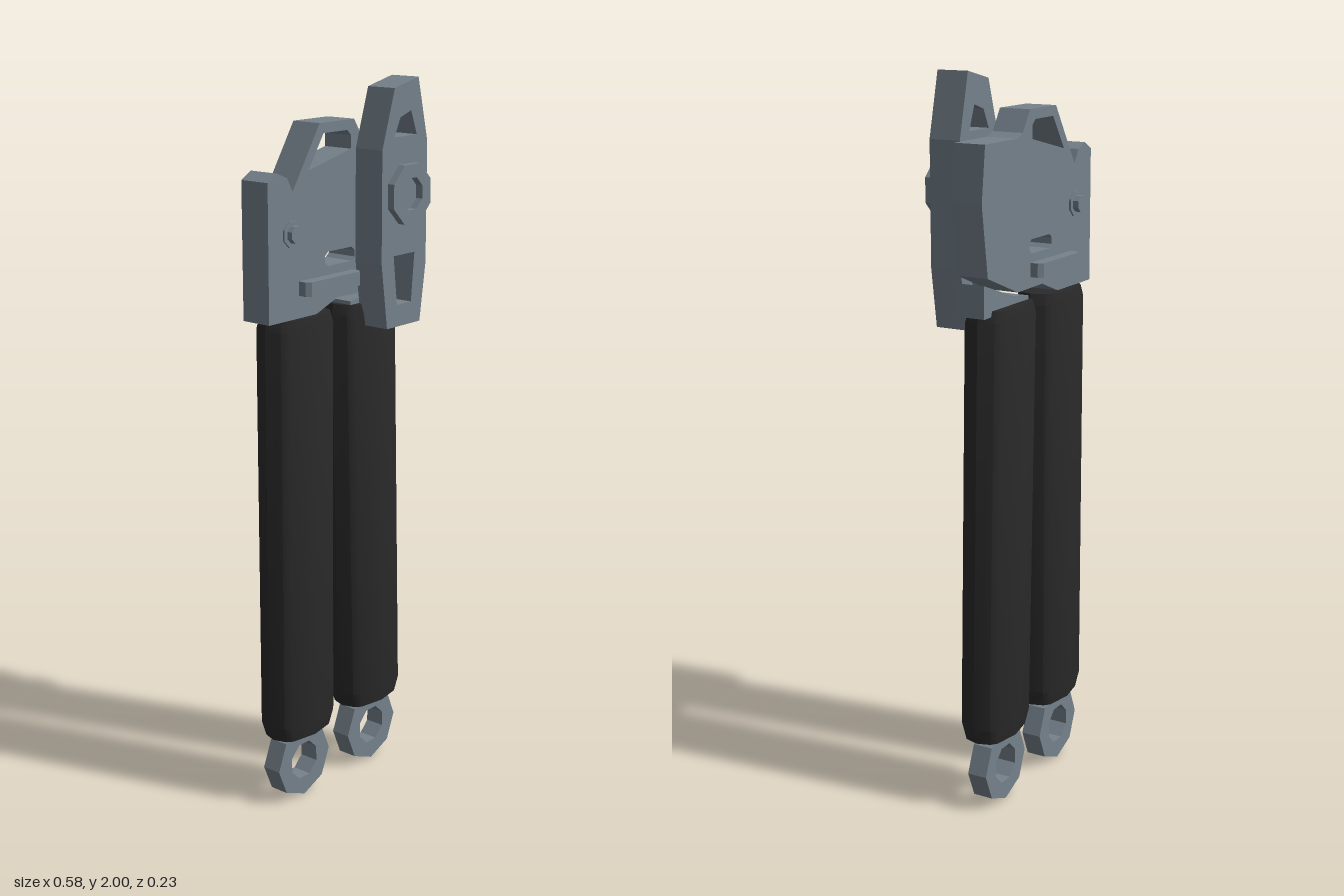
import * as THREE from 'three';
import { toCreasedNormals } from 'three/addons/utils/BufferGeometryUtils.js';

const steel = new THREE.MeshStandardMaterial({ color: 0x76828c });
steel.name = 'steel';
const grip = new THREE.MeshStandardMaterial({ color: 0x2a2a2a });
grip.name = 'black grip';

const vecs = (pts) => pts.map(([x, y]) => new THREE.Vector2(x, y));

// Regular polygon outline
const ngon = (cx, cy, r, n = 8, turn = 0) => Array.from({ length: n }, (_, i) => {
  const a = turn + (i / n) * Math.PI * 2;
  return [cx + r * Math.cos(a), cy + r * Math.sin(a)];
});

// Flat part cut from an outline with holes, between two depths
function plate(name, outline, z0, z1, holes = []) {
  const shape = new THREE.Shape(vecs(outline));
  holes.forEach((h) => shape.holes.push(new THREE.Path(vecs(h))));
  const geo = new THREE.ExtrudeGeometry(shape, { depth: z1 - z0, bevelEnabled: false });
  geo.translate(0, 0, z0);
  const mesh = new THREE.Mesh(geo, steel);
  mesh.name = name;
  return mesh;
}

// Flattened grip lofted through rings, leaning from bottom to top
function handle(name, xBottom, xTop) {
  const quarter = [[0.118, 0], [0.104, 0.043], [0.085, 0.058], [0, 0.073]];
  const half = [...quarter, ...quarter.slice(0, 3).reverse().map(([x, z]) => [-x, z])];
  const ring = [...half, ...half.slice(1, -1).reverse().map(([x, z]) => [x, -z])];
  const levels = [[0.2, 0.88], [0.245, 1], [1.37, 1], [1.4, 0.92]];
  const n = ring.length;
  const pos = [];
  const idx = [];
  levels.forEach(([y, s]) => {
    const cx = xBottom + (xTop - xBottom) * ((y - 0.2) / 1.2);
    ring.forEach(([x, z]) => pos.push(cx + x * s, y, -0.043 + z * s));
  });
  for (let l = 0; l < levels.length - 1; l++) {
    for (let i = 0; i < n; i++) {
      const a = l * n + i, b = l * n + ((i + 1) % n);
      idx.push(a, a + n, b, b, a + n, b + n);
    }
  }
  const top = (levels.length - 1) * n;
  for (let i = 1; i < n - 1; i++) {
    idx.push(0, i, i + 1, top, top + i + 1, top + i);
  }
  const geo = new THREE.BufferGeometry();
  geo.setAttribute('position', new THREE.Float32BufferAttribute(pos, 3));
  geo.setIndex(idx);
  const mesh = new THREE.Mesh(toCreasedNormals(geo, 0.6), grip);
  mesh.name = name;
  return mesh;
}

export function createModel() {
  const g = new THREE.Group();
  g.name = 'handTool';

  // Main head plate with hook loop and slot
  g.add(plate('headPlate', [
    [-0.29, 1.4], [-0.105, 1.4], [-0.02, 1.432], [0.11, 1.43], [0.262, 1.49],
    [0.29, 1.68], [0.273, 1.828], [0.11, 1.828], [0.085, 1.84], [0.048, 1.897],
    [-0.09, 1.897], [-0.196, 1.733], [-0.217, 1.77], [-0.254, 1.785], [-0.29, 1.765],
  ], -0.083, 0.007, [
    [[-0.135, 1.78], [-0.075, 1.87], [0.02, 1.87], [0.036, 1.855], [0.036, 1.82]],
    [[-0.07, 1.532], [-0.058, 1.522], [0.038, 1.522], [0.05, 1.532],
      [0.05, 1.55], [0.038, 1.56], [-0.058, 1.56], [-0.07, 1.55]],
  ]));

  // Lower jaw on the leaning handle
  g.add(plate('lowerJaw', [
    [0.04, 1.385], [0.268, 1.385], [0.268, 1.472], [0.12, 1.422], [0.04, 1.41],
  ], -0.075, 0.002));

  // Front lever with two windows
  g.add(plate('lever', [
    [0.08, 1.34], [0.222, 1.34], [0.246, 1.5], [0.246, 1.83], [0.205, 2],
    [0.105, 1.977], [0.055, 1.82], [0.055, 1.52],
  ], 0.007, 0.097, [
    [[0.105, 1.85], [0.2, 1.85], [0.175, 1.915], [0.13, 1.9]],
    [[0.122, 1.4], [0.183, 1.4], [0.196, 1.535], [0.106, 1.535]],
  ]));

  // Pivot nut on the lever
  const t = Math.PI / 8;
  g.add(plate('pivotNut', ngon(0.158, 1.698, 0.085, 8, t), 0.097, 0.118,
    [ngon(0.158, 1.698, 0.046, 8, t)]));

  // Cross bar with clipped corners, passing through the plate
  const bar = plate('crossBar', [
    [-0.174, -0.03], [-0.162, -0.041], [0.032, -0.041], [0.044, -0.03],
    [0.044, 0.105], [0.032, 0.117], [-0.162, 0.117], [-0.174, 0.105],
  ], 1.46, 1.498);
  bar.geometry.rotateX(-Math.PI / 2);
  g.add(bar);

  // Small bolt and its washer
  g.add(plate('washer', ngon(-0.201, 1.625, 0.036, 8, t), -0.088, 0.012));
  g.add(plate('bolt', ngon(-0.201, 1.625, 0.0235, 8, t), -0.105, 0.028));

  // Grips and end rings
  for (const [side, xb, xt, xr] of [['right', -0.135, -0.135, -0.135], ['left', 0.163, 0.13, 0.165]]) {
    g.add(handle(side + 'Handle', xb, xt));
    g.add(plate(side + 'EndRing', ngon(xr, 0.107, 0.107), -0.077, -0.02,
      [ngon(xr, 0.107, 0.056, 8, t)]));
  }
  return g;
}
